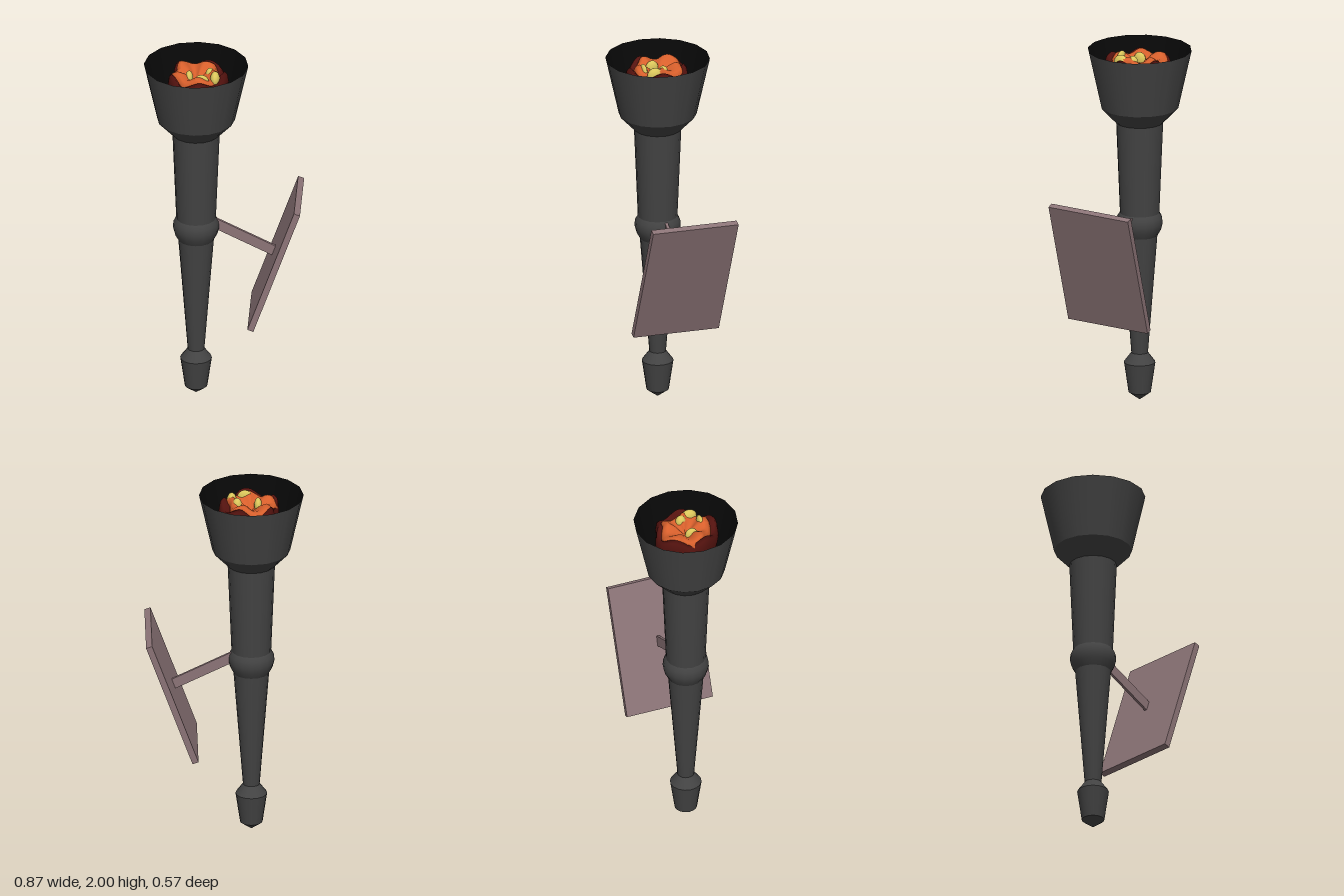
import * as THREE from 'three';
import { mergeGeometries } from 'three/addons/utils/BufferGeometryUtils.js';

const AXIS_X = -0.15;
const SIDES = 16;
const mat = (name, color) => {
  const m = new THREE.MeshStandardMaterial({ color });
  m.name = name;
  return m;
};
const points = (list) => list.map(([r, y]) => new THREE.Vector2(r, y));

// Turned shape, smooth around the axis with a crisp edge at each profile point
function turned(profile) {
  const bands = [];
  for (let i = 0; i < profile.length - 1; i++) {
    bands.push(new THREE.LatheGeometry(points([profile[i], profile[i + 1]]), SIDES));
  }
  return mergeGeometries(bands);
}

// Ragged flame: a lathe whose radius follows an outline of 16 radii, from +x towards +z
function flameShell(profile, outline, lift) {
  const geo = new THREE.LatheGeometry(points(profile), 48);
  const p = geo.attributes.position;
  const n = outline.length;
  for (let i = 0; i < p.count; i++) {
    const x = p.getX(i), y = p.getY(i), z = p.getZ(i);
    const a = Math.atan2(z, x);
    const s = ((a / (Math.PI * 2)) * n + n) % n;
    const j = Math.floor(s);
    const r = THREE.MathUtils.lerp(outline[j % n], outline[(j + 1) % n], s - j);
    const rise = y > 1.88 ? lift * Math.min(1, Math.hypot(x, z) * 2) * Math.sin(5 * a + 0.8) : 0;
    p.setXYZ(i, x * r, y + rise, z * r);
  }
  geo.computeVertexNormals();
  return geo;
}

export function createModel() {
  const model = new THREE.Group();
  model.name = 'wallTorch';
  const iron = mat('dark iron', 0x434343);
  const soot = mat('soot black', 0x080808);
  const bracket = mat('bracket mauve', 0x8c7477);
  const red = mat('deep red flame', 0x55130f);
  const orange = mat('orange flame', 0xd9602c);
  const yellow = mat('yellow flame', 0xdcc85c);

  const add = (name, geo, material, parent = model) => {
    const mesh = new THREE.Mesh(geo, material);
    mesh.name = name;
    parent.add(mesh);
    return mesh;
  };

  const torch = new THREE.Group();
  torch.name = 'torch';
  torch.position.x = AXIS_X;
  model.add(torch);

  // Pointed foot, tapering handle and flared bowl
  add('foot', turned([[0, 0], [0.062, 0.045], [0.087, 0.215], [0.046, 0.27]]), iron, torch);
  add('lowerHandle', turned([[0.046, 0.27], [0.098, 0.94]]), iron, torch);
  add('upperHandle', turned([[0.109, 1.07], [0.13, 1.585]]), iron, torch);
  add('bowl', turned([[0.13, 1.585], [0.214, 1.673], [0.287, 2]]), iron, torch);
  add('bowlInside', turned([[0.287, 2], [0.21, 1.68], [0, 1.68]]), soot, torch);

  // Rounded collar
  add('collar', new THREE.LatheGeometry(points([
    [0.098, 0.94], [0.118, 0.975], [0.127, 1.01], [0.124, 1.045], [0.109, 1.07],
  ]), SIDES), iron, torch);

  // Layered fire sitting inside the bowl
  const fire = new THREE.Group();
  fire.name = 'fire';
  torch.add(fire);
  add('outerFlame', flameShell(
    [[0.6, 1.69], [0.9, 1.78], [1, 1.89], [0.96, 1.935], [0.88, 1.95], [0.6, 1.9]],
    [0.18, 0.175, 0.165, 0.195, 0.187, 0.175, 0.165, 0.162,
      0.15, 0.14, 0.165, 0.18, 0.175, 0.16, 0.185, 0.18], 0.02), red, fire);
  add('innerFlame', flameShell(
    [[0.7, 1.8], [0.95, 1.89], [1, 1.93], [0.9, 1.958], [0.75, 1.965], [0.45, 1.945], [0, 1.9]],
    [0.115, 0.155, 0.15, 0.155, 0.14, 0.135, 0.125, 0.14,
      0.145, 0.12, 0.155, 0.165, 0.142, 0.13, 0.155, 0.125], 0.014), orange, fire);

  // Bright tongues breaking through: x, y, z, half width in x, half width in z
  const tongues = [[-0.037, 1.93, 0.02, 0.022, 0.037], [0.078, 1.94, -0.003, 0.027, 0.03],
    [0.107, 1.945, 0.055, 0.027, 0.045], [0.035, 1.945, 0.095, 0.042, 0.018]];
  tongues.forEach(([x, y, z, w, d], i) => {
    const tongue = add('tongue' + (i + 1), new THREE.SphereGeometry(1, 12, 8), yellow, fire);
    tongue.scale.set(w, 0.042, d);
    tongue.position.set(x, y, z);
  });

  // Arm running down from the collar to the mounting plate
  const arm = add('arm', new THREE.BoxGeometry(0.4, 0.058, 0.016), bracket);
  arm.position.set(0.112, 0.957, -0.01);
  arm.rotation.z = -0.456;

  // Leaning plate, slightly twisted in its own plane
  const plate = add('mountingPlate', new THREE.BoxGeometry(0.035, 0.75, 0.5), bracket);
  plate.position.set(0.288, 0.857, 0);
  plate.rotation.set(-0.03, 0, -0.347, 'ZYX');

  return model;
}
